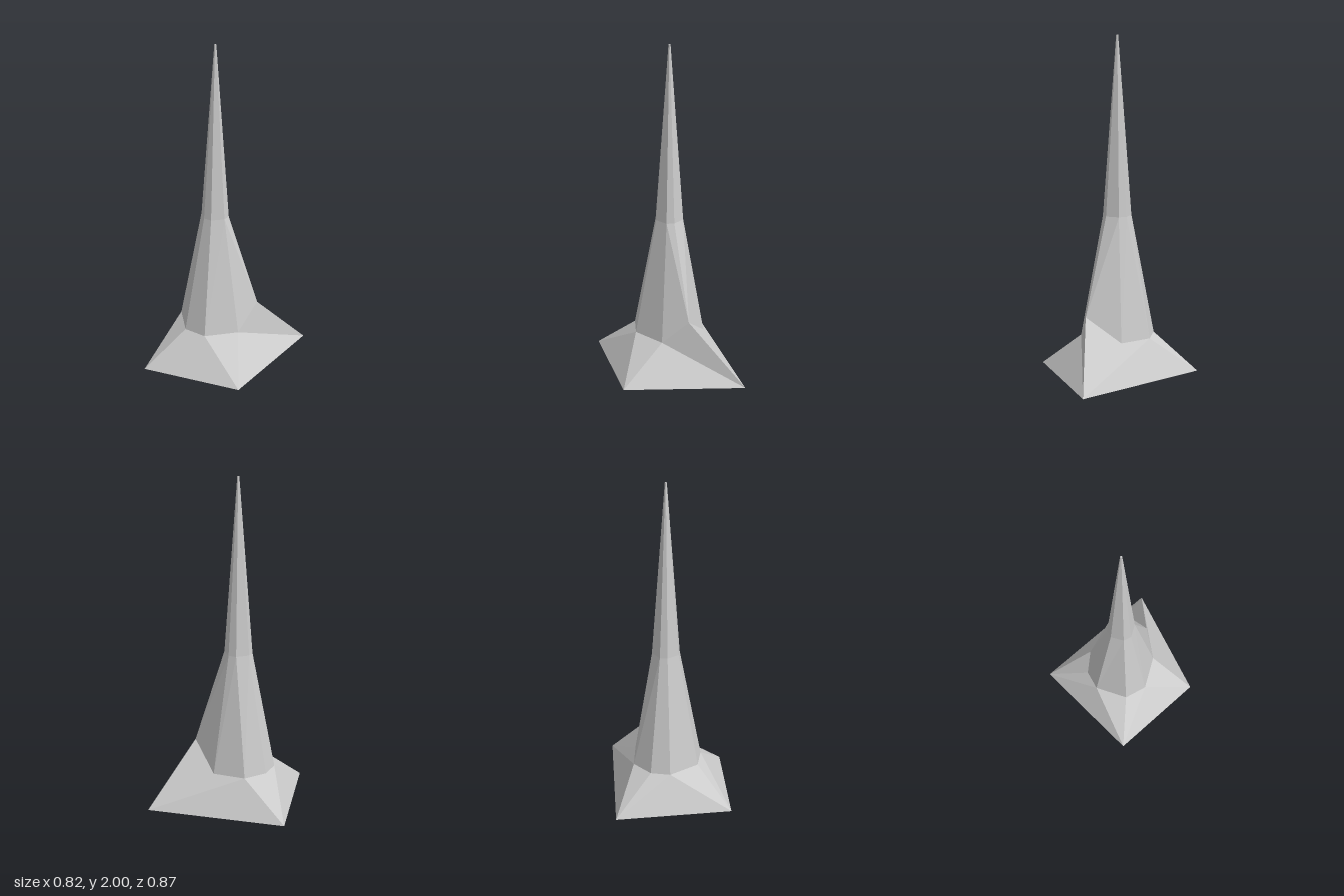
import * as THREE from 'three';

const material = new THREE.MeshStandardMaterial({ color: 0xcccccc, flatShading: true });

// Turns [x, z] outline points into points at one height
const ring = (y, points) => points.map(([x, z]) => new THREE.Vector3(x, y, z));

function facetMesh(name, triangles) {
  const geometry = new THREE.BufferGeometry().setFromPoints(triangles.flat());
  geometry.computeVertexNormals();
  const mesh = new THREE.Mesh(geometry, material);
  mesh.name = name;
  return mesh;
}

// Joins two eight-point rings; doubled points collapse a quad to one triangle
function loft(low, high) {
  const triangles = [];
  for (let i = 0; i < 8; i++) {
    const j = (i + 1) % 8;
    const a = low[j], b = low[i], c = high[i], d = high[j];
    // the facets beside the raised shoulder fold along the other diagonal
    if (i === 4) triangles.push([a, b, d], [b, c, d]);
    else triangles.push([a, b, c], [a, c, d]);
  }
  return triangles.filter(([p, q, r]) => !p.equals(q) && !q.equals(r) && !p.equals(r));
}

const fan = (pts) => pts.slice(2).map((p, i) => [pts[0], pts[i + 1], p]);

export function createModel() {
  const group = new THREE.Group();
  group.name = 'spike';

  // Uneven four-cornered footprint
  const corners = ring(0, [[-0.215, 0.43], [-0.41, -0.25], [0.41, -0.435], [0.38, 0.29]]);
  const footprint = [0, 1, 1, 2, 2, 3, 3, 0].map((i) => corners[i]);

  // Shoulder ring with one raised point
  const shoulder = ring(0.22, [
    [-0.205, 0.05], [-0.205, -0.07], [-0.12, -0.19], [0.075, -0.215],
    [0.255, -0.108], [0.22, 0.05], [0.075, 0.2], [-0.067, 0.2],
  ]);
  shoulder[4].y = 0.37;

  // Waist ring and its shrunken copy at the tip
  const waistOutline = [
    [-0.072, 0.013], [-0.072, -0.033], [-0.015, -0.09], [0.035, -0.09],
    [0.092, -0.033], [0.092, 0.013], [0.035, 0.07], [-0.015, 0.07],
  ];
  const waist = ring(0.945, waistOutline);
  const tip = ring(2, waistOutline.map(([x, z]) => [
    0.01 + (x - 0.01) * 0.07, -0.01 + (z + 0.01) * 0.07,
  ]));

  group.add(
    facetMesh('foot', [...loft(footprint, shoulder), ...fan(corners)]),
    facetMesh('shaft', loft(shoulder, waist)),
    facetMesh('spire', [...loft(waist, tip), ...fan([...tip].reverse())]),
  );
  return group;
}
